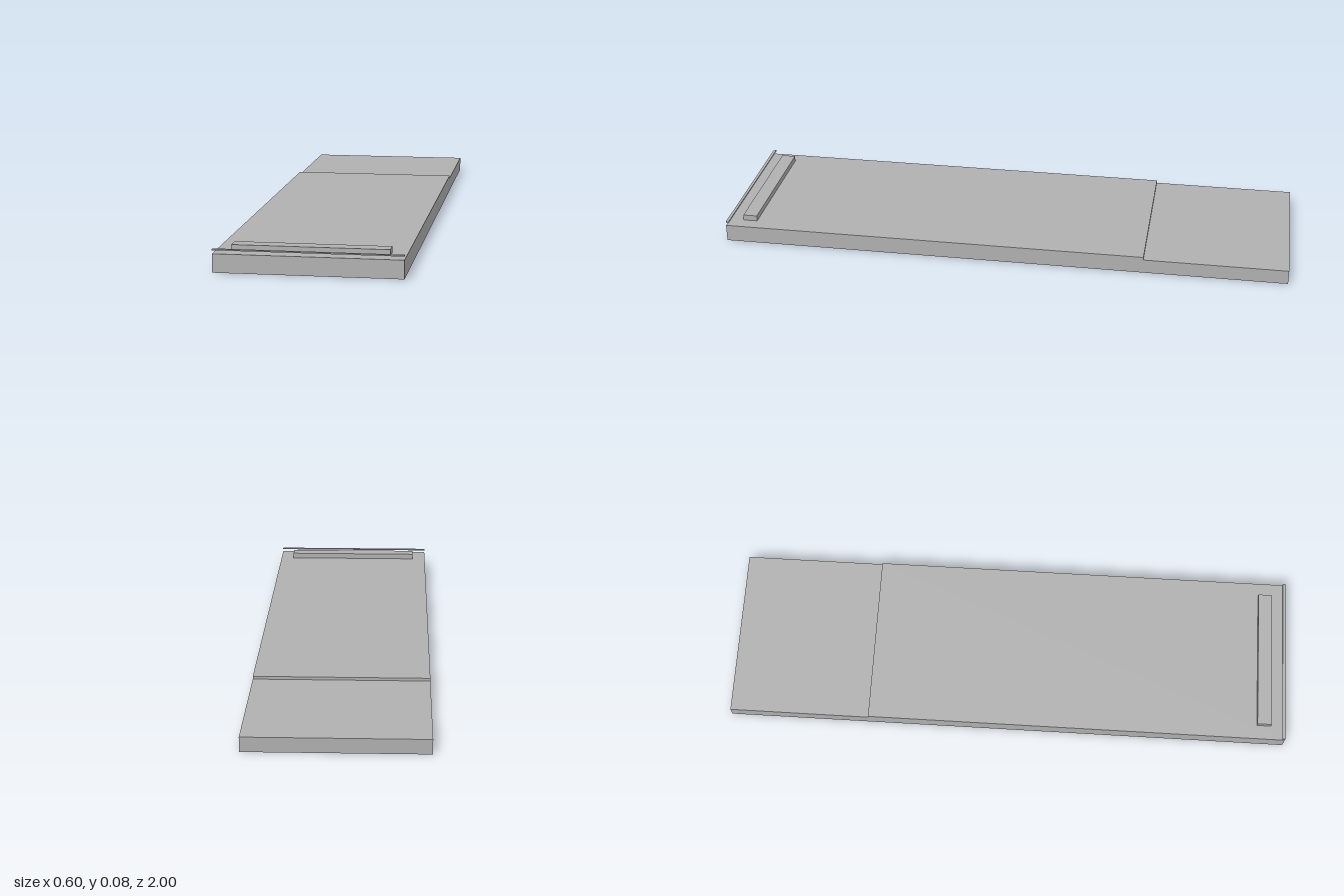
import * as THREE from 'three';

export function createModel() {
  const group = new THREE.Group();
  const grey = new THREE.MeshStandardMaterial({ color: 0xb0b0b0 });
  grey.name = 'grey';

  // Stepped slab: side profile in (z, y), extruded across x
  const profile = new THREE.Shape([
    [-1, 0], [1, 0], [1, 0.06], [-0.5, 0.06], [-0.5, 0.05], [-1, 0.05],
  ].map(([z, y]) => new THREE.Vector2(-z, y)));
  const slabGeometry = new THREE.ExtrudeGeometry(profile, { depth: 0.6, bevelEnabled: false });
  slabGeometry.translate(0, 0, -0.3).rotateY(Math.PI / 2);
  const slab = new THREE.Mesh(slabGeometry, grey);
  slab.name = 'steppedSlab';
  group.add(slab);

  // Box spanning y0..y1 and z0..z1, centred on x
  const addBar = (name, width, y0, y1, z0, z1) => {
    const bar = new THREE.Mesh(new THREE.BoxGeometry(width, y1 - y0, z1 - z0), grey);
    bar.position.set(0, (y0 + y1) / 2, (z0 + z1) / 2);
    bar.name = name;
    group.add(bar);
  };

  // Raised bar near the front, and the thin strip above the front edge
  addBar('raisedBar', 0.5, 0.06, 0.08, 0.9, 0.95);
  addBar('frontStrip', 0.6, 0.071, 0.075, 0.99, 1);

  return group;
}
